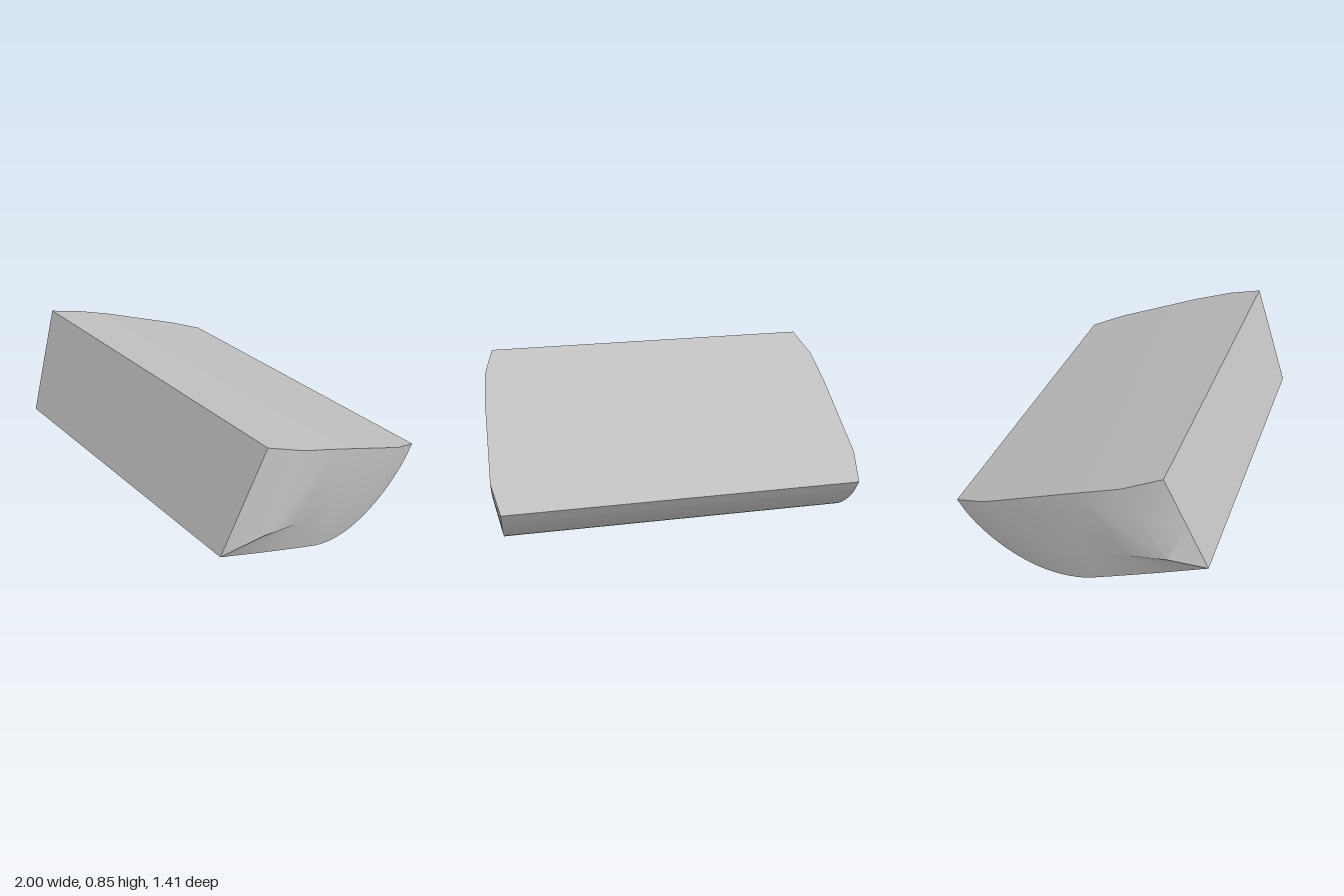
import * as THREE from 'three';
import { toCreasedNormals } from 'three/addons/utils/BufferGeometryUtils.js';

// Points are (half width, height, depth) on the model's left end.
const V = (w, y, z) => new THREE.Vector3(w, y, z);

export function createModel() {
  const group = new THREE.Group();
  const grey = new THREE.MeshStandardMaterial({ color: 0xc0c0c0 });
  grey.name = 'light grey';

  // Rim of the end: flat front, straight underside, then the rounded belly
  const front = [V(0.94, 0.845, 0.455), V(0.908, 0.557, 0.568), V(0.875, 0.27, 0.68)];
  const under = [V(0.903, 0.167, 0.42)];
  const belly = new THREE.CatmullRomCurve3([
    V(0.93, 0.068, 0.16), V(0.94, 0.018, 0.02), V(0.943, 0, -0.13), V(0.943, 0.022, -0.28),
    V(0.944, 0.09, -0.43), V(0.945, 0.17, -0.535), V(0.945, 0.26, -0.62), V(0.945, 0.36, -0.682),
  ]).getPoints(28);
  const rim = [...front, ...under, ...belly];

  // Inner ring of the bulged end, pulled towards the middle of the top edge
  const centre = V(0.994, 0.674, 0.03);
  const ring = rim.map((p) => {
    const d = Math.hypot(p.y - centre.y, p.z - centre.z);
    const q = p.clone().lerp(centre, 0.21 / d);
    q.x = 0.988;
    return q;
  });

  const pos = [];
  const tri = (a, b, c) => [a, b, c].forEach((p) => pos.push(p.x, p.y, p.z));
  const flip = (p) => V(-p.x, p.y, p.z);
  const bothEnds = (a, b, c) => {
    tri(a, b, c);
    tri(flip(c), flip(b), flip(a));
  };

  // Bulged ends
  for (let i = 0; i < rim.length - 1; i++) {
    bothEnds(rim[i], rim[i + 1], ring[i + 1]);
    bothEnds(rim[i], ring[i + 1], ring[i]);
    bothEnds(ring[i], ring[i + 1], centre);
  }

  // Skin between the ends: front, underside, belly and top
  const loop = [...rim, ring[ring.length - 1], centre, ring[0]];
  loop.forEach((a, i) => {
    const b = loop[(i + 1) % loop.length];
    tri(a, flip(a), flip(b));
    tri(a, flip(b), b);
  });

  const geo = new THREE.BufferGeometry();
  geo.setAttribute('position', new THREE.Float32BufferAttribute(pos, 3));
  const body = new THREE.Mesh(toCreasedNormals(geo, 0.5), grey);
  body.name = 'roundedWedgeBody';
  body.rotation.y = 0.026;
  group.add(body);
  return group;
}
